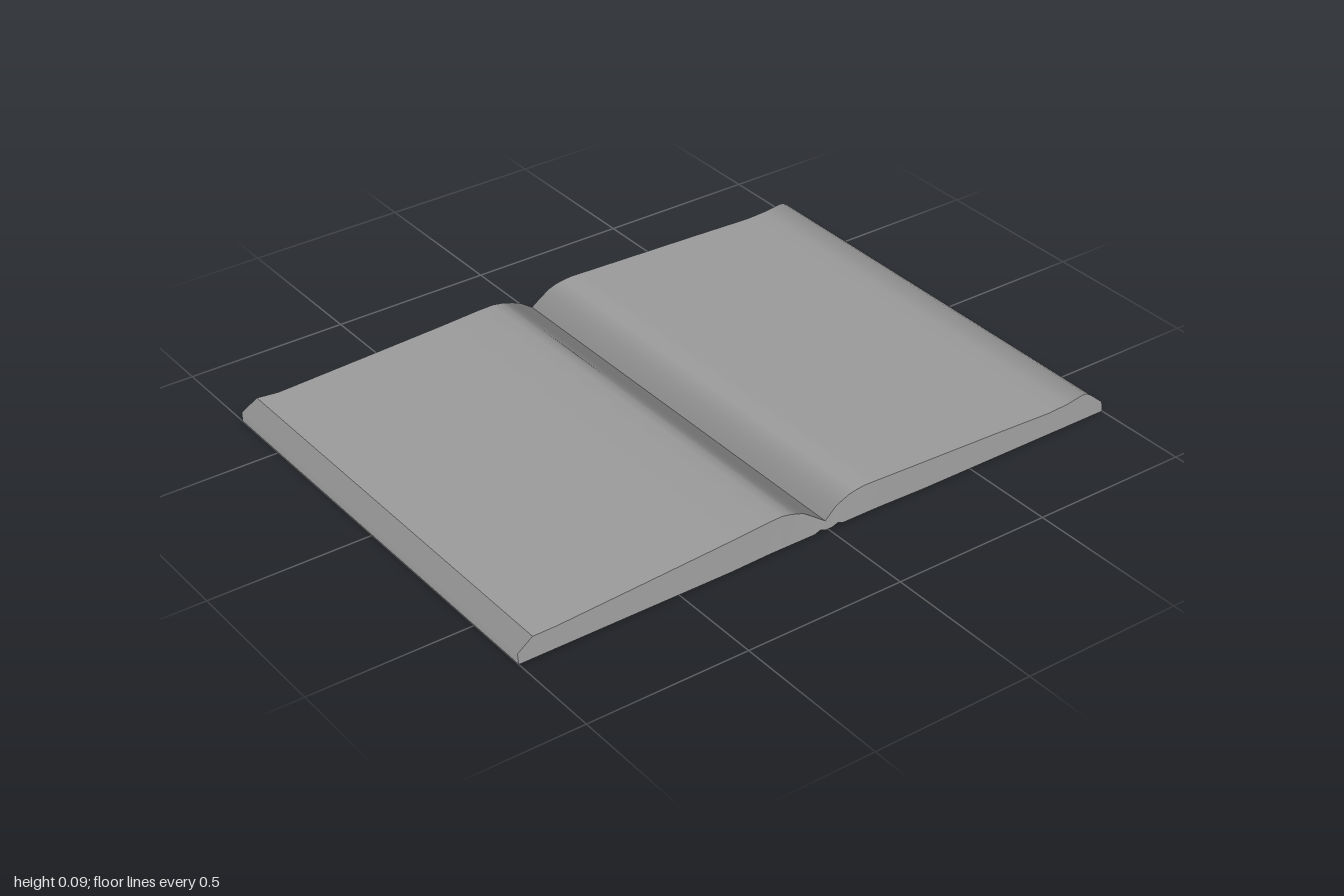
import * as THREE from 'three';
import { toCreasedNormals } from 'three/addons/utils/BufferGeometryUtils.js';

// Page profile from left to right: [x, height, lean of the soft normal in degrees].
// A repeated x is a sharp fold.
const profile = [
  [-1, 0.03, -66], [-0.95, 0.06, -66], [-0.95, 0.06, -2], [-0.88, 0.06, -2], [-0.6, 0.073, -2],
  [-0.33, 0.086, 0], [-0.2, 0.094, 4], [-0.15, 0.095, 10], [-0.12, 0.09, 30], [-0.1, 0.084, 52],
  [-0.08, 0.078, 58], [-0.05, 0.058, 58], [-0.03, 0.044, 58], [-0.01, 0.03, 58],
  [-0.01, 0.03, -72], [0.01, 0.045, -70], [0.03, 0.059, -66], [0.05, 0.073, -60],
  [0.075, 0.082, -50], [0.1, 0.087, -34], [0.13, 0.09, -8], [0.17, 0.089, 2], [0.33, 0.084, 2],
  [0.6, 0.076, 2], [0.8, 0.069, 2], [0.87, 0.072, 8], [0.93, 0.08, 30], [0.945, 0.078, 38],
  [0.96, 0.069, 47], [1, 0.035, 60],
];
const skinProfile = [[-1, 0, -72], ...profile, [1, 0, 75]];
const wallProfile = profile.filter(([x], i) => i === 0 || x !== profile[i - 1][0]);

const HALF_DEPTH = 0.704;

// The left page sinks toward the back, the right page toward the front
const frontTop = ([x, y]) => {
  const h = y - (x > 0.04 && y > 0 ? 0.006 : 0);
  return [x, h, HALF_DEPTH - 0.17 * h];
};
const backTop = ([x, y]) => {
  const h = y - (x < -0.06 && x > -0.9 ? 0.007 : 0);
  return [x, h, -HALF_DEPTH + 0.05 * h];
};

// Underside height, with two shallow hinge grooves beside the spine
function underside(x) {
  const d = Math.abs(x);
  if (d > 0.25) return 0;
  return d === 0.03 ? 0.011 : 0.004;
}
const frontBottom = ([x]) => [x, underside(x), HALF_DEPTH];
const backBottom = ([x]) => [x, underside(x), -HALF_DEPTH];

// Strip of quads between two rows of points
function strip(a, b) {
  const n = a.length;
  const index = [];
  for (let i = 0; i < n - 1; i++) {
    index.push(i, i + 1, n + i + 1, i, n + i + 1, n + i);
  }
  const geometry = new THREE.BufferGeometry();
  geometry.setAttribute('position', new THREE.Float32BufferAttribute([...a, ...b].flat(), 3));
  geometry.setIndex(index);
  return geometry;
}

// Upper page surface, rolled over the outer edges
function pageSkin() {
  const geometry = strip(skinProfile.map(frontTop), skinProfile.map(backTop));
  const normals = skinProfile.flatMap(([, , lean]) => {
    const t = THREE.MathUtils.degToRad(lean);
    return [Math.sin(t), Math.cos(t), 0];
  });
  geometry.setAttribute('normal', new THREE.Float32BufferAttribute([...normals, ...normals], 3));
  return geometry;
}

export function createModel() {
  const group = new THREE.Group();
  group.name = 'openBook';
  const material = new THREE.MeshStandardMaterial({ color: 0x9b9b9b });

  function add(name, geometry) {
    const mesh = new THREE.Mesh(geometry, material);
    mesh.name = name;
    group.add(mesh);
  }
  const wall = (from, to) => toCreasedNormals(strip(wallProfile.map(from), wallProfile.map(to)), 0.2);

  add('pages', pageSkin());
  add('frontPageEdges', wall(frontBottom, frontTop));
  add('backPageEdges', wall(backTop, backBottom));
  add('coverUnderside', wall(backBottom, frontBottom));
  return group;
}
